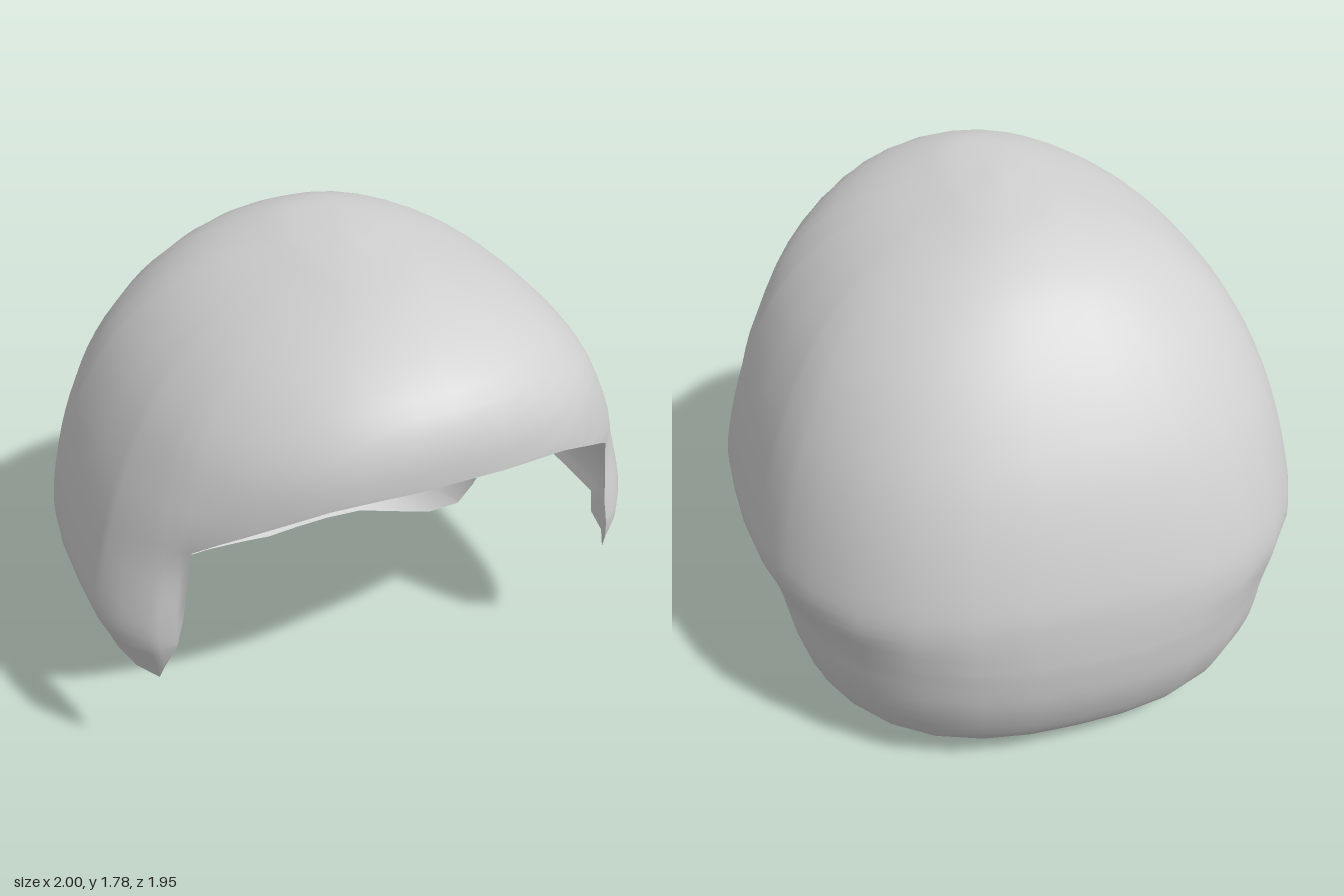
import * as THREE from 'three';
import { mergeVertices } from 'three/addons/utils/BufferGeometryUtils.js';

// Horizontal sections from crown to nape:
// height, half width, reach forward, reach back, squareness of the front
const SECTIONS = [
  [1.78, 1e-6, 1e-6, 1e-6, 2.3], [1.765, 0.12, 0.3, 0.24, 2.3], [1.74, 0.22, 0.48, 0.4, 2.3],
  [1.67, 0.41, 0.67, 0.56, 2.3], [1.56, 0.59, 0.81, 0.69, 2.3], [1.4, 0.745, 0.855, 0.825, 2.4],
  [1.2, 0.86, 0.81, 0.95, 2.5], [1.0, 0.935, 0.64, 1.03, 3.1], [0.8, 0.985, 0.6, 1.08, 3.6],
  [0.68, 1.0, 0.6, 1.09, 3.6], [0.58, 0.965, 0.6, 1.09, 3.6], [0.5, 0.94, 0.61, 1.085, 3.6],
  [0.35, 0.92, 0.6, 1.06, 3.6], [0.2, 0.885, 0.6, 1.0, 3.6], [0.1, 0.845, 0.6, 0.93, 3.6],
  [0.03, 0.8, 0.6, 0.84, 3.6], [0, 0.76, 0.6, 0.76, 3.6],
];
// Lower edge of the hair: angle from the front in degrees, height
const HEM = [
  [0, 1.34], [10, 1.335], [20, 1.32], [27, 1.295], [34, 1.25], [42, 1.19], [49, 1.13],
  [55, 1.07], [57, 0.8], [58, 0.7], [61, 0.6], [63, 0.53], [69, 0.53], [76, 0.53],
  [79, 0.585], [90, 0.585], [101, 0.585], [111.5, 0.585], [114, 0.52], [117, 0.34],
  [119.7, 0.22], [122.7, 0.12], [130, 0.05], [140, 0.025], [150, 0.02], [160, 0.01], [170, 0.004],
  [180, 0],
];
const CENTRE_Z = 0.12;
const ROWS = 48;
const BACK_SQUARENESS = 2.55;

const channels = SECTIONS[0].map(
  (_, k) => new THREE.SplineCurve(SECTIONS.map((s) => new THREE.Vector2(s[k], 0))));
const sample = (k, t) => channels[k].getPoint(t).x;

// Finds how far down the sections a height lies
function levelOf(y) {
  let lo = 0, hi = 1;
  for (let i = 0; i < 30; i++) {
    const mid = (lo + hi) / 2;
    if (sample(0, mid) > y) lo = mid; else hi = mid;
  }
  return hi;
}

// Point on the squared oval section at a given angle and level
function shellPoint(degrees, t) {
  const a = THREE.MathUtils.degToRad(degrees);
  const s = Math.sin(a), c = Math.cos(a);
  const n = c > 0 ? sample(4, t) : BACK_SQUARENESS;
  const reach = sample(c > 0 ? 2 : 3, t);
  const r = (Math.abs(s / sample(1, t)) ** n + Math.abs(c / reach) ** n) ** (-1 / n);
  return [r * s, sample(0, t), CENTRE_Z + r * c];
}

function hairGeometry() {
  // Mirror the hem to go all the way round
  const mirrored = HEM.slice(0, -1).reverse().map(([a, y]) => [360 - a, y]);
  const columns = [...HEM, ...mirrored].map(([a, y]) => [a, levelOf(y)]);
  const positions = [], index = [];
  columns.forEach(([angle, end], j) => {
    const next = columns[j + 1];
    for (let i = 0; i <= ROWS; i++) {
      // Rows stay level and stop at the hem
      positions.push(...(i === 0
        ? [0, SECTIONS[0][0], CENTRE_Z]
        : shellPoint(angle, Math.min(i / ROWS, end))));
      if (!next) continue;
      const a = j * (ROWS + 1) + i, r = a + ROWS + 1;
      if (i > 0 && i < ROWS && i / ROWS < end) index.push(a, a + 1, r);
      if (i < ROWS && i / ROWS < next[1]) index.push(r, a + 1, r + 1);
    }
  });
  const raw = new THREE.BufferGeometry();
  raw.setAttribute('position', new THREE.Float32BufferAttribute(positions, 3));
  raw.setIndex(index);
  const geometry = mergeVertices(raw, 1e-5);
  geometry.computeVertexNormals();
  return geometry;
}

export function createModel() {
  const grey = new THREE.MeshStandardMaterial({ color: 0xd2d2d2, side: THREE.DoubleSide });
  grey.name = 'light grey';

  const group = new THREE.Group();
  group.name = 'hair';
  const shell = new THREE.Mesh(hairGeometry(), grey);
  shell.name = 'hairShell';
  group.add(shell);
  return group;
}
